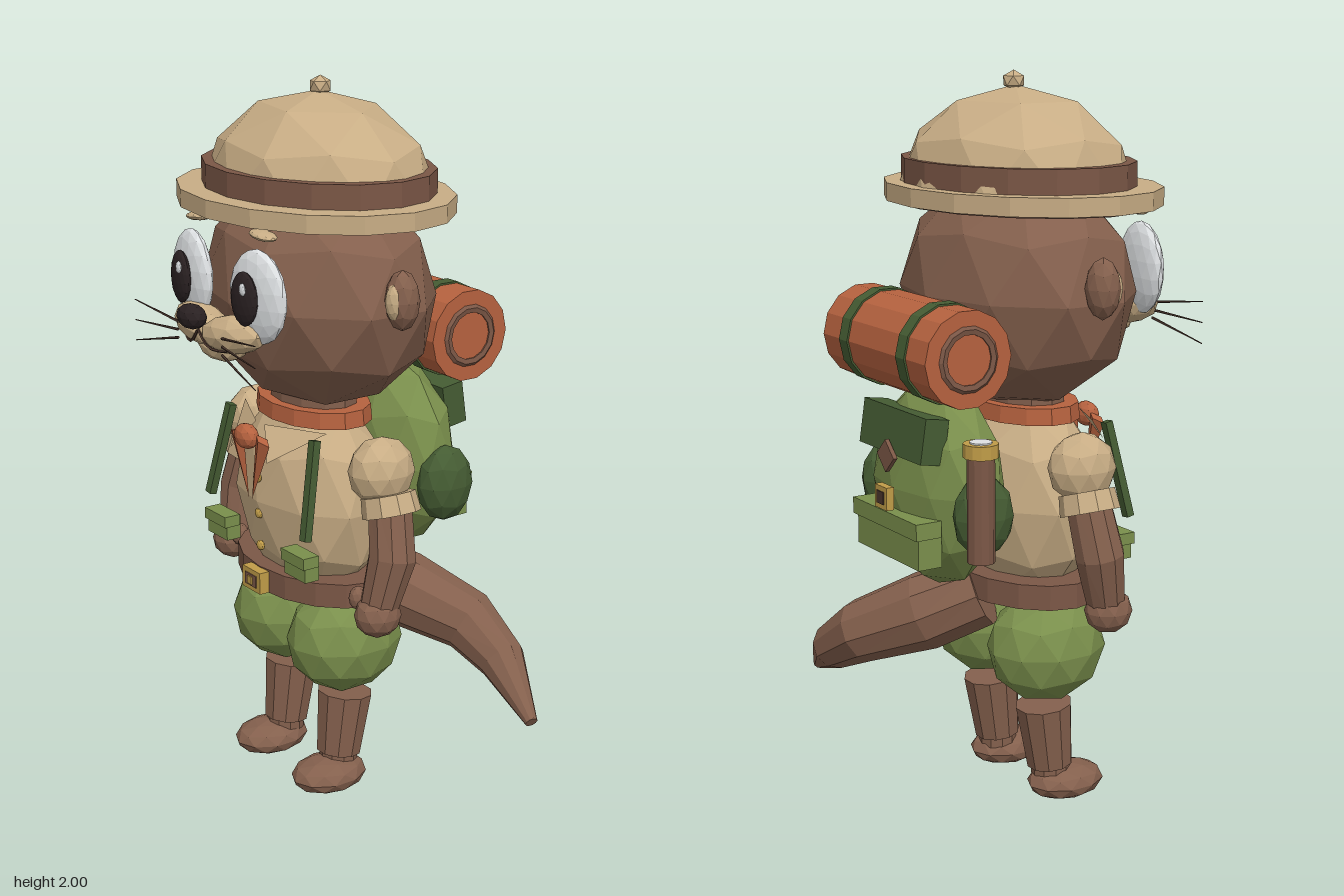
import * as THREE from 'three';

const paint = (name, color, side = THREE.FrontSide) => {
  const m = new THREE.MeshStandardMaterial({ color, flatShading: true, side });
  m.name = name;
  return m;
};

export function createModel() {
  const tan = paint('tan', 0xc8ad85, THREE.DoubleSide);
  const fur = paint('brown fur', 0x84604d);
  const leather = paint('leather', 0x7b5746);
  const rust = paint('rust', 0xb6623f);
  const green = paint('green', 0x7a8f4c);
  const darkGreen = paint('dark green', 0x455c33);
  const white = paint('white', 0xdfe2e4);
  const black = paint('black', 0x2a2122);
  const gold = paint('gold', 0xc09c48);
  const darkBrown = paint('dark brown', 0x4b362d);

  // The figure stands slightly to one side because the tail sticks out
  const root = new THREE.Group();
  root.name = 'explorer';
  root.position.x = -0.06;

  const add = (name, geo, mat, pos = [0, 0, 0], rot = [0, 0, 0], scale = [1, 1, 1]) => {
    const m = new THREE.Mesh(geo, mat);
    m.name = name;
    m.position.set(...pos);
    m.rotation.set(...rot);
    m.scale.set(...scale);
    root.add(m);
    return m;
  };
  // Faceted ball with a corner at the top
  const ico = (detail = 1) => new THREE.IcosahedronGeometry(1, detail).rotateZ(-0.5536);
  const ball = (name, mat, pos, size, rot, detail) => add(name, ico(detail), mat, pos, rot, size);
  const box = (name, mat, pos, size, rot) => add(name, new THREE.BoxGeometry(...size), mat, pos, rot);
  const cyl = (name, mat, pos, rt, rb, h, sides, rot, scale) =>
    add(name, new THREE.CylinderGeometry(rt, rb, h, sides), mat, pos, rot, scale);
  const both = (fn) => [1, -1].forEach((s) => fn(s, s > 0 ? 'left' : 'right'));

  // Closed tube through points [x, y, z, radius]
  const loft = (pts, sides) => {
    const P = pts.map((p) => new THREE.Vector3(p[0], p[1], p[2]));
    const pos = [], idx = [], last = pts.length - 1;
    P.forEach((p, i) => {
      const t = P[Math.min(i + 1, last)].clone().sub(P[Math.max(i - 1, 0)]).normalize();
      const u = new THREE.Vector3(0, 0, 1).cross(t).normalize();
      const v = t.clone().cross(u);
      for (let j = 0; j < sides; j++) {
        const a = (j / sides) * Math.PI * 2, r = pts[i][3];
        const q = p.clone().addScaledVector(u, Math.cos(a) * r).addScaledVector(v, Math.sin(a) * r);
        pos.push(q.x, q.y, q.z);
      }
    });
    pos.push(...P[0].toArray(), ...P[last].toArray());
    const c0 = pts.length * sides, c1 = c0 + 1;
    for (let j = 0; j < sides; j++) {
      const k = (j + 1) % sides;
      for (let i = 0; i < last; i++) {
        const a = i * sides + j, b = i * sides + k;
        idx.push(a, b, a + sides, b, b + sides, a + sides);
      }
      idx.push(c0, k, j, c1, last * sides + j, last * sides + k);
    }
    const g = new THREE.BufferGeometry();
    g.setAttribute('position', new THREE.Float32BufferAttribute(pos, 3));
    g.setIndex(idx);
    g.computeVertexNormals();
    return g;
  };

  // Hat: dome cut flat at the band
  const dome = ico();
  const dp = dome.attributes.position;
  for (let i = 0; i < dp.count; i++) dp.setY(i, Math.max(dp.getY(i), 0));
  add('hatCrown', dome, tan, [0, 1.7, 0.005], [0, 0, 0], [0.37, 0.265, 0.285]);
  cyl('hatBand', leather, [0, 1.738, 0.01], 0.372, 0.372, 0.075, 16, [0, 0, 0], [1, 1, 0.76]);
  cyl('hatBrim', tan, [0, 1.687, 0.022], 0.442, 0.442, 0.048, 16, [0, 0, 0], [1, 1, 0.762]);
  cyl('hatLining', darkBrown, [0, 1.661, 0.022], 0.41, 0.41, 0.008, 16, [0, 0, 0], [1, 1, 0.76]);
  ball('hatButton', tan, [0, 1.975, 0], [0.032, 0.028, 0.032], [0, 0, 0], 0);

  // Head and face
  ball('head', fur, [0, 1.43, 0.01], [0.385, 0.32, 0.285]);
  both((s, n) => {
    ball(n + 'Ear', fur, [s * 0.385, 1.475, 0.015], [0.048, 0.08, 0.045]);
    ball(n + 'InnerEar', tan, [s * 0.39, 1.475, 0.042], [0.026, 0.05, 0.026]);
    ball(n + 'EyeWhite', white, [s * 0.16, 1.48, 0.305], [0.107, 0.125, 0.034], [0, s * 0.12, 0], 2);
    ball(n + 'Pupil', black, [s * 0.156, 1.48, 0.345], [0.049, 0.072, 0.02], [0, s * 0.12, 0], 2);
    ball(n + 'EyeGlint', white, [s * 0.156 + 0.018, 1.51, 0.362], [0.013, 0.017, 0.006]);
    ball(n + 'Brow', tan, [s * 0.155, 1.637, 0.285], [0.05, 0.012, 0.03], [0, 0, -s * 0.1]);
    ball(n + 'Muzzle', tan, [s * 0.08, 1.368, 0.33], [0.115, 0.052, 0.062], [0, s * 0.15, s * 0.12]);
    const smile = new THREE.CatmullRomCurve3([
      [0, 1.375, 0.39], [s * 0.04, 1.335, 0.385], [s * 0.1, 1.333, 0.365], [s * 0.15, 1.36, 0.335],
    ].map((p) => new THREE.Vector3(...p)));
    add(n + 'Mouth', new THREE.TubeGeometry(smile, 8, 0.004, 5), darkBrown);
    for (let i = 0; i < 3; i++) {
      const y = 1.372 - i * 0.022;
      add(n + 'Whisker', loft([
        [s * 0.11, y, 0.385, 0.004], [s * 0.3, y + 0.025 - i * 0.035, 0.407, 0.0015],
      ], 5), darkBrown);
    }
  });
  ball('chin', tan, [0, 1.322, 0.315], [0.09, 0.043, 0.055]);
  ball('nose', black, [0, 1.412, 0.408], [0.053, 0.034, 0.035]);

  // Shirt, collar and neckerchief
  ball('shirt', tan, [0, 0.86, 0.03], [0.272, 0.3, 0.185]);
  cyl('neck', fur, [0, 1.12, 0.025], 0.15, 0.15, 0.1, 12, [0, 0, 0], [1, 1, 0.7]);
  cyl('neckerchief', rust, [0, 1.11, 0.025], 0.195, 0.2, 0.045, 14, [0, 0, 0], [1, 1, 0.69]);
  ball('neckerchiefKnot', rust, [0, 1.055, 0.245], [0.045, 0.036, 0.03]);
  both((s, n) => {
    const collar = new THREE.BufferGeometry().setAttribute('position', new THREE.Float32BufferAttribute(
      [s * 0.2, 1.09, 0.12, s * 0.02, 1.085, 0.2, s * 0.09, 1.0, 0.24], 3));
    collar.computeVertexNormals();
    add(n + 'Collar', collar, tan);
    add(n + 'NeckerchiefTail', new THREE.ConeGeometry(0.034, 0.19, 4), rust,
      [s * 0.036, 0.965, 0.235], [Math.PI, 0, s * 0.3], [1, 1, 0.45]);
    box(n + 'PackStrap', darkGreen, [s * 0.222, 0.95, 0.19], [0.026, 0.27, 0.022], [-0.2, 0, s * 0.12]);
    box(n + 'BeltPouch', green, [s * 0.195, 0.735, 0.2], [0.1, 0.068, 0.045]);
    box(n + 'PouchFlap', green, [s * 0.195, 0.757, 0.206], [0.108, 0.032, 0.05]);
  });
  [0.93, 0.825, 0.73].forEach((y, i) => ball('button', gold, [0, y, 0.212 - i * 0.004], [0.015, 0.015, 0.01]));

  // Belt
  cyl('belt', leather, [0, 0.635, 0.022], 0.276, 0.276, 0.068, 16, [0, 0, 0], [1, 1, 0.68]);
  box('beltBuckle', gold, [0, 0.635, 0.222], [0.088, 0.062, 0.03]);
  box('buckleCentre', leather, [0, 0.635, 0.236], [0.055, 0.034, 0.008]);
  box('bucklePin', gold, [0, 0.635, 0.24], [0.022, 0.022, 0.008]);

  // Arms, shorts, legs
  both((s, n) => {
    ball(n + 'Sleeve', tan, [s * 0.302, 0.995, 0.015], [0.08, 0.095, 0.095]);
    cyl(n + 'Cuff', tan, [s * 0.337, 0.91, 0.012], 0.074, 0.08, 0.055, 10, [0, 0, s * 0.32]);
    add(n + 'Arm', loft([
      [s * 0.335, 0.92, 0.01, 0.06], [s * 0.37, 0.77, 0.027, 0.066], [s * 0.355, 0.63, 0.06, 0.052],
    ], 10), fur);
    ball(n + 'Hand', fur, [s * 0.358, 0.612, 0.065], [0.06, 0.062, 0.066]);
    ball(n + 'Thumb', fur, [s * 0.295, 0.645, 0.085], [0.024, 0.034, 0.026]);
    ball(n + 'Shorts', green, [s * 0.138, 0.46, 0.018], [0.145, 0.157, 0.17]);
    add(n + 'Leg', loft([[s * 0.134, 0.29, 0.013, 0.079], [s * 0.134, 0.11, 0.035, 0.064]], 10), fur);
    cyl(n + 'Ankle', fur, [s * 0.136, 0.1, 0.037], 0.054, 0.054, 0.05, 10);
    ball(n + 'Foot', fur, [s * 0.148, 0.056, 0.078], [0.088, 0.05, 0.115]);
  });

  // Tail
  add('tail', loft([
    [0, 0.6, -0.1, 0.1], [0.1, 0.535, -0.22, 0.11], [0.25, 0.455, -0.34, 0.09],
    [0.38, 0.375, -0.36, 0.068], [0.555, 0.262, -0.322, 0.018],
  ], 10), fur);

  // Backpack
  ball('backpack', green, [0, 0.93, -0.24], [0.25, 0.285, 0.142]);
  both((s, n) => ball(n + 'SidePocket', darkGreen, [s * 0.24, 0.89, -0.25], [0.065, 0.11, 0.085]));
  box('packFlap', darkGreen, [0, 1.08, -0.345], [0.32, 0.12, 0.07], [0.15, 0, 0]);
  box('backPocket', green, [0, 0.805, -0.362], [0.32, 0.12, 0.07]);
  box('backPocketFlap', green, [0, 0.85, -0.37], [0.335, 0.045, 0.075]);
  box('patch', leather, [0, 1.02, -0.395], [0.062, 0.062, 0.012], [0, 0, Math.PI / 4]);
  box('packBuckle', gold, [0, 0.91, -0.405], [0.062, 0.062, 0.022]);
  box('packBuckleCentre', darkBrown, [0, 0.91, -0.415], [0.034, 0.034, 0.008]);

  // Bedroll with rolled ends
  const side = [0, 0, Math.PI / 2];
  cyl('bedroll', rust, [0, 1.308, -0.308], 0.127, 0.127, 0.53, 14, side);
  both((s) => {
    cyl('bedrollStrap', darkGreen, [s * 0.148, 1.308, -0.308], 0.132, 0.132, 0.043, 14, side);
    add('bedrollFold', new THREE.TorusGeometry(0.075, 0.012, 5, 14), leather,
      [s * 0.265, 1.308, -0.308], [0, Math.PI / 2, 0], [1, 1, 0.6]);
  });

  // Spyglass beside the pack
  const glass = [-0.3, 0, -0.295];
  const tube = (name, mat, y, r, h) => cyl(name, mat, [glass[0], y, glass[2]], r, r, h, 12);
  tube('spyglassTube', leather, 0.93, 0.036, 0.28);
  tube('spyglassRim', gold, 1.083, 0.046, 0.036);
  tube('spyglassLens', white, 1.102, 0.029, 0.006);

  const model = new THREE.Group();
  model.name = 'model';
  model.add(root);
  return model;
}
